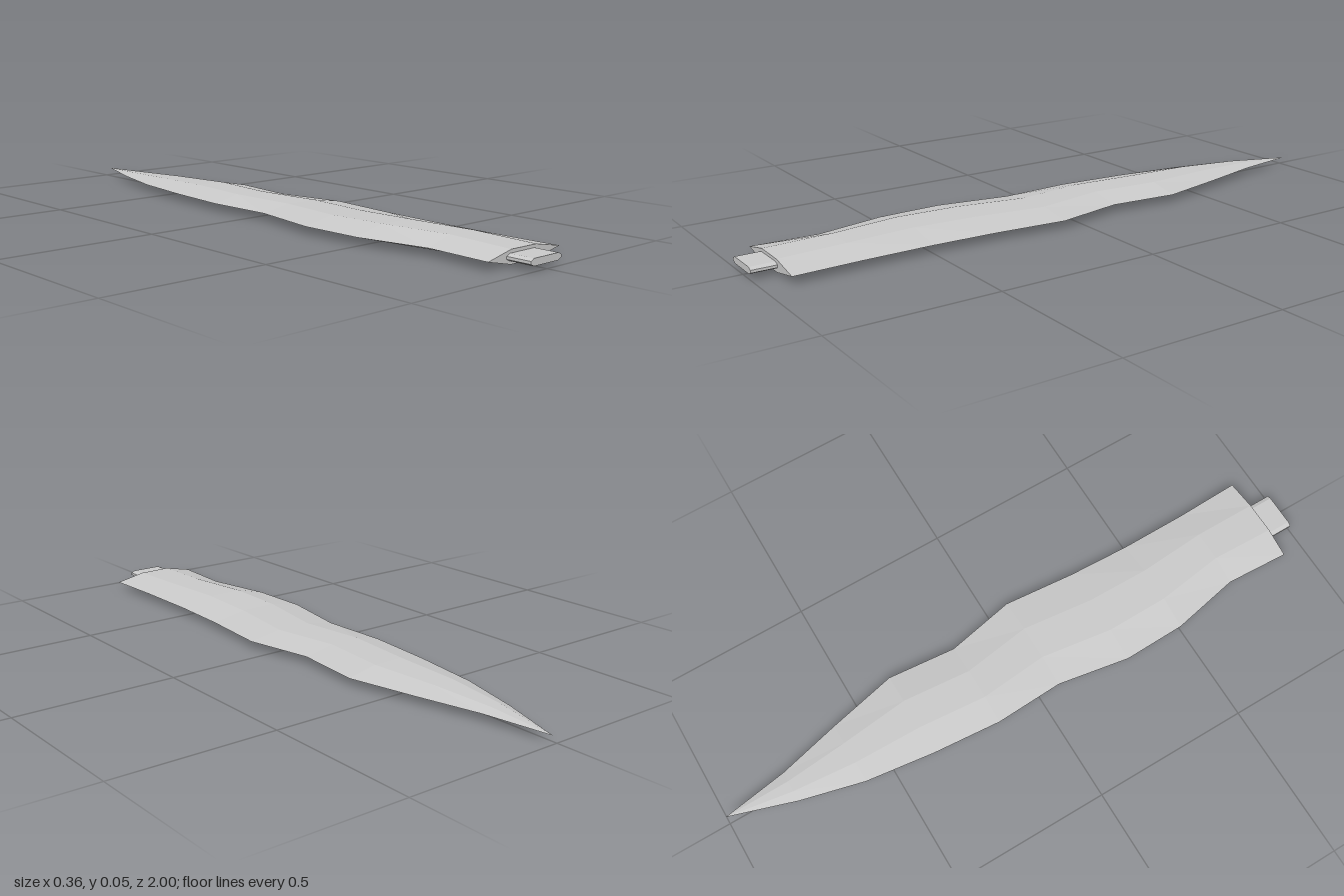
import * as THREE from 'three';

const MID = 0.026; // height of the cutting edges

// Blade stations: z, left-hand edge x, right-hand edge x, half thickness
const STATIONS = [
  [0.925, -0.14, 0.155, 0.02],
  [0.72, -0.13, 0.148, 0.025],
  [0.5, -0.175, 0.147, 0.025],
  [0.3, -0.18, 0.155, 0.021],
  [0.07, -0.14, 0.175, 0.018],
  [-0.15, -0.15, 0.13, 0.021],
  [-0.37, -0.132, 0.15, 0.021],
  [-0.59, -0.103, 0.1, 0.018],
  [-0.79, -0.052, 0.05, 0.011],
  [-1, 0.017, 0.017, 0],
];

// Six-sided bevelled section, anticlockwise seen from the front
function section([z, x0, x1, h]) {
  const w = x1 - x0;
  const a = x0 + w * 0.31, b = x0 + w * 0.66;
  return [[x1, 0], [b, h * 0.95], [a, h], [x0, 0], [a, -h], [b, -h * 0.95]]
    .map(([x, y]) => new THREE.Vector3(x, MID + y, z));
}

function bladeGeometry() {
  const rings = STATIONS.map(section);
  const points = [];
  const n = rings[0].length;
  for (let i = 0; i < rings.length - 1; i++) {
    for (let j = 0; j < n; j++) {
      const k = (j + 1) % n;
      const a = rings[i][j], b = rings[i][k], c = rings[i + 1][j], d = rings[i + 1][k];
      points.push(a, c, b);
      if (i < rings.length - 2) points.push(b, c, d); // last span closes to the tip
    }
  }
  // Flat face at the base
  for (let j = 1; j < n - 1; j++) points.push(rings[0][0], rings[0][j], rings[0][j + 1]);
  const geometry = new THREE.BufferGeometry().setFromPoints(points);
  geometry.computeVertexNormals();
  return geometry;
}

// Flat bar with chamfered long edges
function tangGeometry() {
  const w = 0.063, h = 0.01, cx = 0.013, cy = 0.006;
  const shape = new THREE.Shape([
    [w, -h + cy], [w, h - cy], [w - cx, h], [-w + cx, h],
    [-w, h - cy], [-w, -h + cy], [-w + cx, -h], [w - cx, -h],
  ].map(([x, y]) => new THREE.Vector2(x, y)));
  return new THREE.ExtrudeGeometry(shape, { depth: 0.08, bevelEnabled: false });
}

export function createModel() {
  const model = new THREE.Group();
  model.name = 'bladeShard';
  const steel = new THREE.MeshStandardMaterial({ color: 0xc8c8c8, flatShading: true });
  steel.name = 'pale grey steel';

  const blade = new THREE.Mesh(bladeGeometry(), steel);
  blade.name = 'blade';

  const tang = new THREE.Mesh(tangGeometry(), steel);
  tang.name = 'tang';
  tang.position.set(-0.004, MID, 0.92);

  model.add(blade, tang);
  return model;
}
